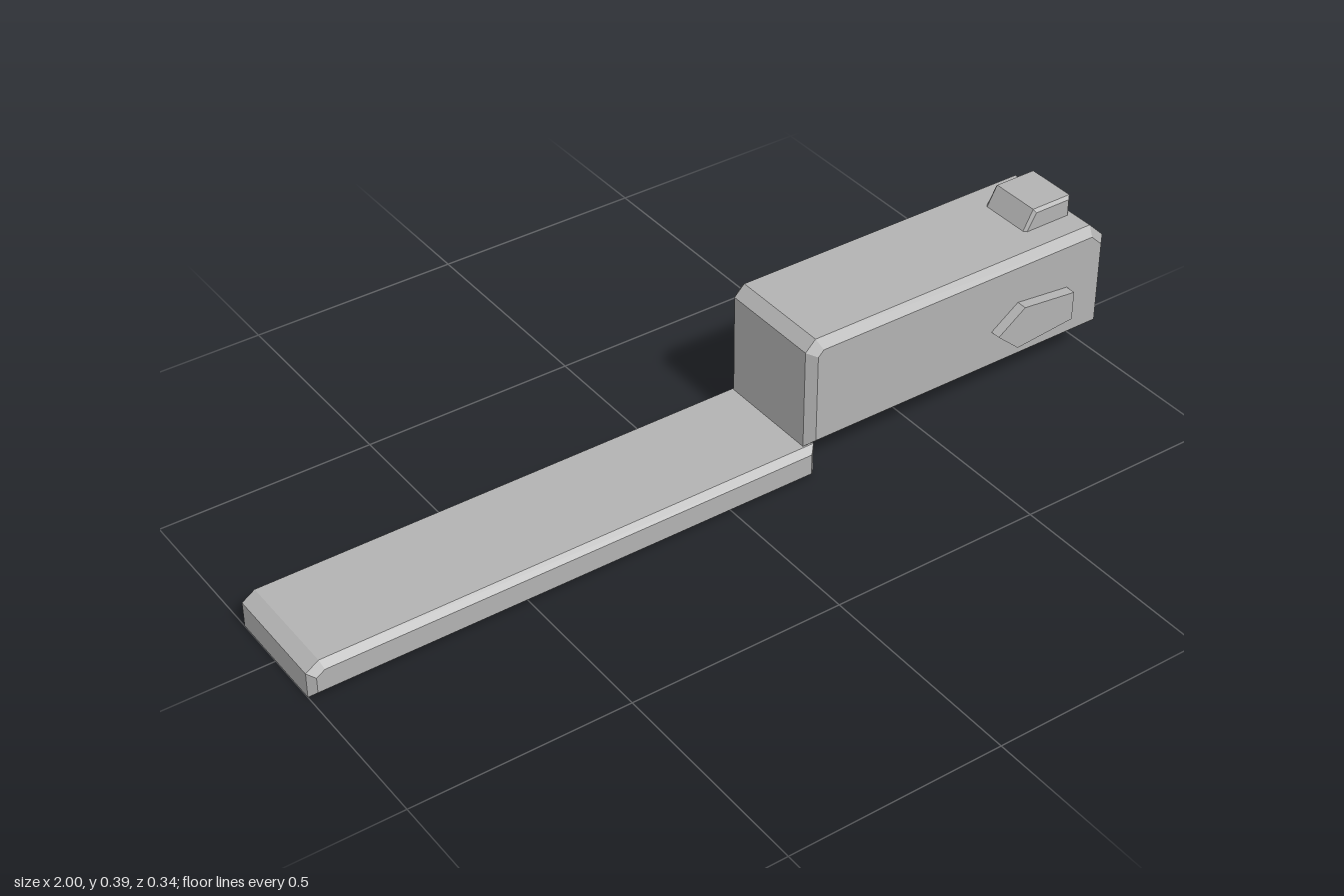
import * as THREE from 'three';

const grey = new THREE.MeshStandardMaterial({ color: 0xb2b2b2 });
grey.name = 'grey';

// Side profile in x/y, extruded across z to a half width, with chamfered rims
function chamferedPart(name, points, halfWidth, chamfer) {
  const shape = new THREE.Shape(points.map(([x, y]) => new THREE.Vector2(x, y)));
  const depth = 2 * (halfWidth - chamfer);
  const geometry = new THREE.ExtrudeGeometry(shape, {
    depth,
    bevelEnabled: chamfer > 0,
    bevelSize: chamfer,
    bevelThickness: chamfer,
    bevelOffset: -chamfer,
    bevelSegments: 1,
  });
  geometry.translate(0, 0, -depth / 2);
  const mesh = new THREE.Mesh(geometry, grey);
  mesh.name = name;
  return mesh;
}

export function createModel() {
  const model = new THREE.Group();
  model.name = 'model';

  // Long low slab with a sloped far end
  model.add(chamferedPart('slab', [
    [-1, 0], [0.215, 0], [0.215, 0.08], [-0.97, 0.08], [-1, 0.06],
  ], 0.143, 0.015));

  // Tall body resting on the end of the slab
  model.add(chamferedPart('body', [
    [0.19, 0.08], [1, 0.08], [1, 0.306], [0.96, 0.345], [0.215, 0.345], [0.19, 0.32],
  ], 0.143, 0.019));

  // Wedge block on top, sunk slightly into the body
  model.add(chamferedPart('topBlock', [
    [0.82, 0.335], [0.953, 0.335], [0.953, 0.392], [0.85, 0.392],
  ], 0.067, 0.007));

  // Pointed plates on both sides
  for (const [name, side] of [['leftPlate', 1], ['rightPlate', -1]]) {
    const plate = chamferedPart(name, [
      [0.68, 0.185], [0.737, 0.135], [0.89, 0.15], [0.89, 0.22], [0.75, 0.235],
    ], 0.0175, 0);
    plate.position.z = side * 0.15;
    model.add(plate);
  }

  return model;
}
